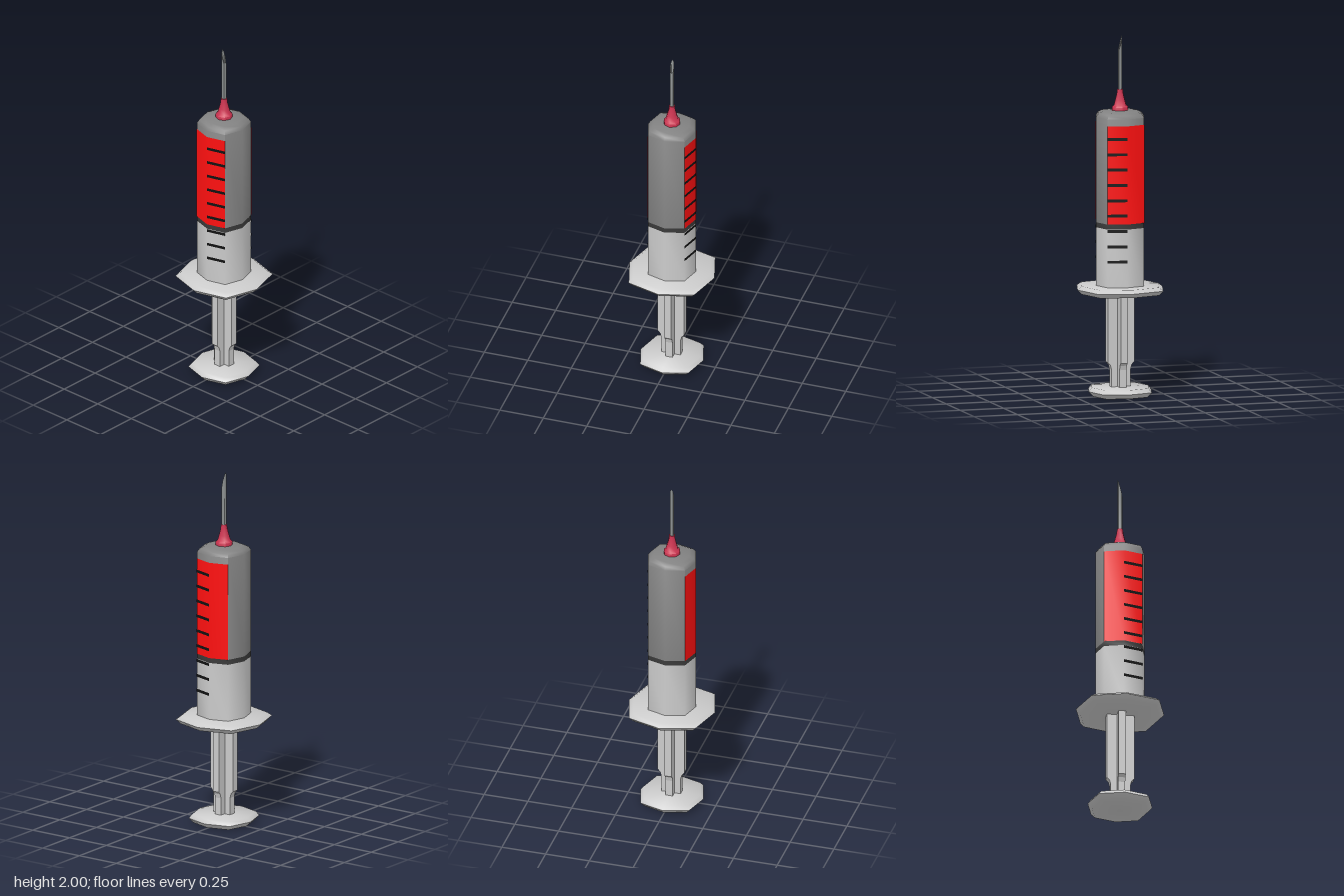
import * as THREE from 'three';
import { toCreasedNormals } from 'three/addons/utils/BufferGeometryUtils.js';

const material = (color) => new THREE.MeshStandardMaterial({ color, side: THREE.DoubleSide });
const GREY = material(0xcccccc), DARK = material(0x828282), RED = material(0xff1010);
const BLACK = material(0x111111), RUBBER = material(0x3a3a3a), HUB = material(0xcc3350), STEEL = material(0x8c9090);

// Eight-sided turned part; squarish pushes the diagonal corners outwards
function turned(name, profile, mat, { squarish = true, start = 0, sides = 8 } = {}) {
  const pts = profile.map(([r, y]) => new THREE.Vector2(r, y));
  const geo = new THREE.LatheGeometry(pts, sides, start * Math.PI / 4, sides * Math.PI / 4);
  if (squarish) {
    const p = geo.attributes.position;
    for (let i = 0; i < p.count; i++) {
      const x = p.getX(i), z = p.getZ(i);
      const k = Math.abs(x) > 1e-4 && Math.abs(z) > 1e-4 ? 1.09 : 1;
      p.setX(i, x * k);
      p.setZ(i, z * k);
    }
  }
  const mesh = new THREE.Mesh(toCreasedNormals(geo, 1.05), mat);
  mesh.name = name;
  return mesh;
}

export function createModel() {
  const model = new THREE.Group();
  model.name = 'syringe';
  const R = 0.137;

  // Thumb rest and finger flange
  model.add(turned('thumbRest', [[0, 0], [0.155, 0.003], [0.18, 0.03], [0.162, 0.053], [0, 0.055]], GREY));
  model.add(turned('fingerFlange', [[0, 0.57], [0.222, 0.572], [0.245, 0.597], [0.22, 0.616], [0, 0.62]], GREY));

  // Plunger rod: two crossed fins, narrowed near the thumb rest
  const half = [[0.055, 0.04], [0.055, 0.15], [0.062, 0.175], [0.076, 0.19], [0.076, 0.59]];
  const outline = [...half, ...half.map(([x, y]) => [-x, y]).reverse()];
  const finGeo = new THREE.ExtrudeGeometry(
    new THREE.Shape(outline.map(([x, y]) => new THREE.Vector2(x, y))), { depth: 0.04, bevelEnabled: false });
  finGeo.translate(0, 0, -0.02);
  for (let i = 0; i < 2; i++) {
    const fin = new THREE.Mesh(finGeo, GREY);
    fin.name = 'plungerFin';
    fin.rotation.y = i * Math.PI / 2;
    model.add(fin);
  }

  // Barrel: empty lower part, stopper ring, filled upper part with shoulder
  model.add(turned('lowerBarrel', [[R, 0.6], [R, 0.94]], GREY));
  model.add(turned('stopperRing', [[R, 0.94], [R, 0.968]], RUBBER));
  model.add(turned('upperBarrel', [[R, 0.968], [R, 1.55], [0.125, 1.568], [0.1, 1.58], [0, 1.588]], DARK));

  // Liquid windows and scale marks on the front and back
  for (const side of ['front', 'back']) {
    const front = side === 'front';
    model.add(turned(side + 'LiquidWindow', [[R + 0.001, 0.968], [R + 0.001, 1.512]], RED,
      { start: front ? -1 : 3, sides: 2 }));
    for (let i = 0; i < 9; i++) {
      const y = 0.76 + i * 0.085;
      model.add(turned(side + 'ScaleMark', [[R + 0.002, y - 0.008], [R + 0.002, y + 0.008]], BLACK,
        { start: front ? 0 : 3, sides: 1 }));
    }
  }

  // Needle hub
  model.add(turned('needleHub', [[0.047, 1.575], [0.047, 1.602], [0.036, 1.612], [0.028, 1.64],
    [0.019, 1.675], [0.017, 1.7], [0, 1.7]], HUB, { squarish: false }));

  // Hollow needle with a slanted tip
  const r = 0.0125;
  const needle = turned('needle', [[r, 1.69], [r, 1.95], [0.008, 1.95], [0.008, 1.8], [0, 1.8]], STEEL,
    { squarish: false });
  const p = needle.geometry.attributes.position;
  for (let i = 0; i < p.count; i++) {
    if (p.getY(i) > 1.9) p.setY(i, 1.95 - p.getX(i) / r * 0.05);
  }
  needle.geometry = toCreasedNormals(needle.geometry, 1.05);
  model.add(needle);

  return model;
}
